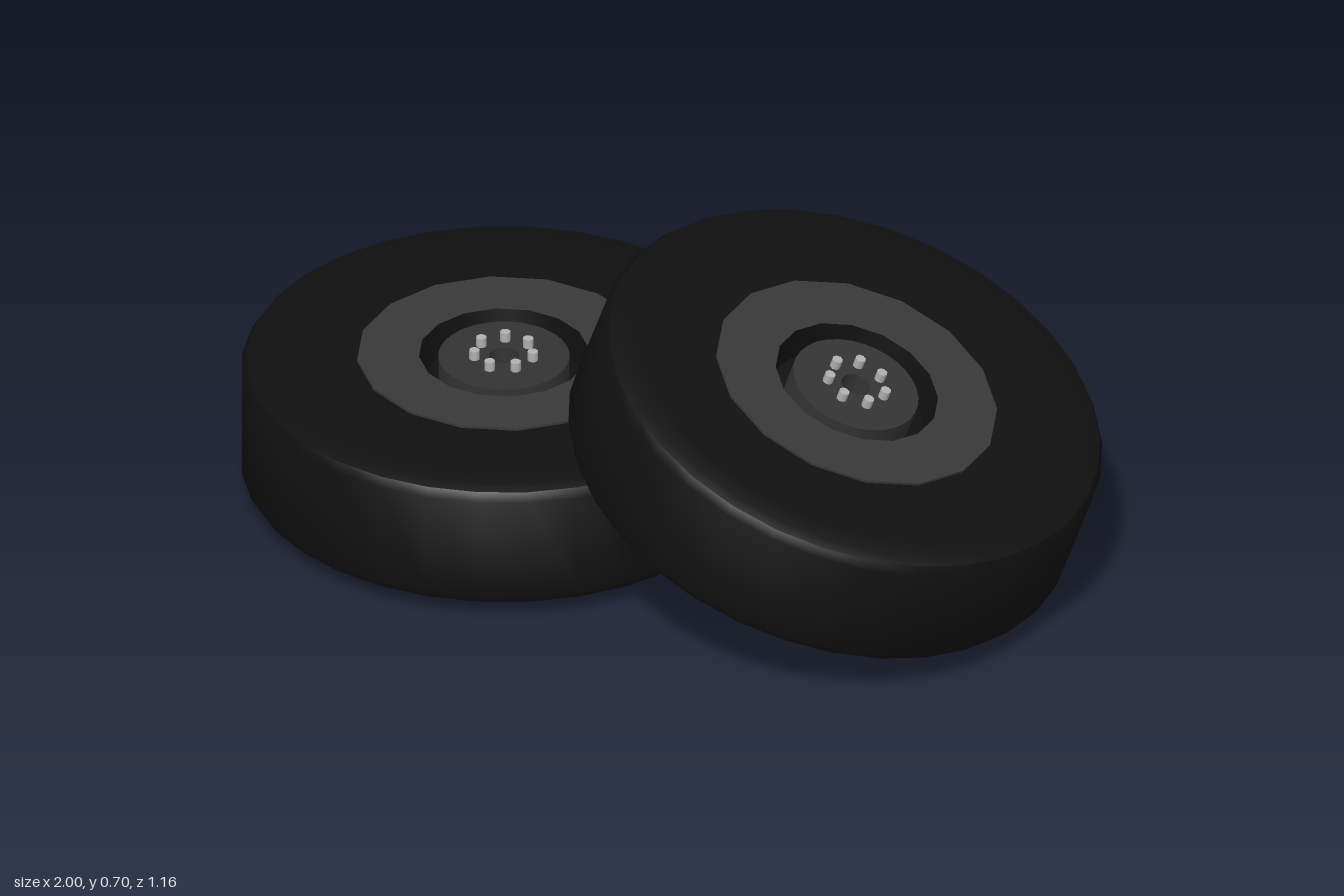
import * as THREE from 'three';
import { toCreasedNormals } from 'three/addons/utils/BufferGeometryUtils.js';

const paint = (color) => new THREE.MeshStandardMaterial({ color });
const rubber = paint(0x101010);
const rimMetal = paint(0x383838);
const hubMetal = paint(0x333333);
const steel = paint(0xb0b0b0);

// Spins a [radius, height] profile round the wheel axis
function turned(name, profile, sides, material, phase = 0) {
  const points = profile.map(([r, y]) => new THREE.Vector2(r, y));
  const geometry = toCreasedNormals(new THREE.LatheGeometry(points, sides, phase), 0.6);
  const mesh = new THREE.Mesh(geometry, material);
  mesh.name = name;
  return mesh;
}

// A wheel lying on its back, with the back of its hub at y = 0
function createWheel(name) {
  const body = new THREE.Group();
  body.name = 'wheelBody';

  body.add(turned('tyre', [
    [0.26, 0.055], [0.3, 0.045], [0.5, 0.035], [0.545, 0.036], [0.568, 0.046], [0.58, 0.066],
    [0.58, 0.308], [0.568, 0.328], [0.545, 0.336], [0.5, 0.34], [0.3, 0.34],
  ], 32, rubber));

  // Front rim ring, the dark well around the hub, and the back plate
  body.add(turned('rimRing', [[0.325, 0.33], [0.325, 0.346], [0.188, 0.346]], 16, rimMetal, Math.PI / 16));
  body.add(turned('rimWell', [[0.19, 0.346], [0.175, 0.27], [0.14, 0.27]], 32, rubber));
  body.add(turned('rimBackPlate', [[0.14, 0.05], [0.275, 0.05]], 24, rimMetal));

  // Hub drum with an axle bore right through it
  body.add(turned('hub', [
    [0.033, 0], [0.145, 0], [0.145, 0.338], [0.033, 0.338], [0.033, 0],
  ], 32, hubMetal));

  // Ring of seven wheel bolts
  const boltGeometry = new THREE.CylinderGeometry(0.012, 0.012, 0.03, 8);
  for (let i = 0; i < 7; i++) {
    const angle = (i / 7) * Math.PI * 2;
    const bolt = new THREE.Mesh(boltGeometry, steel);
    bolt.name = 'wheelBolt';
    bolt.position.set(Math.sin(angle) * 0.066, 0.345, Math.cos(angle) * 0.066);
    body.add(bolt);
  }

  // Pivot at mid-width so the wheel can be tilted in place
  body.position.y = -0.1875;
  const wheel = new THREE.Group();
  wheel.name = name;
  wheel.add(body);
  return wheel;
}

export function createModel() {
  const model = new THREE.Group();
  model.name = 'wheelPile';

  const flatWheel = createWheel('flatWheel');
  flatWheel.position.set(-0.42, 0.1875, 0);

  // Second wheel leans on the edge of the first
  const leaningWheel = createWheel('leaningWheel');
  leaningWheel.position.set(0.41, 0.375, 0);
  leaningWheel.rotation.z = THREE.MathUtils.degToRad(-20);

  model.add(flatWheel, leaningWheel);
  return model;
}
